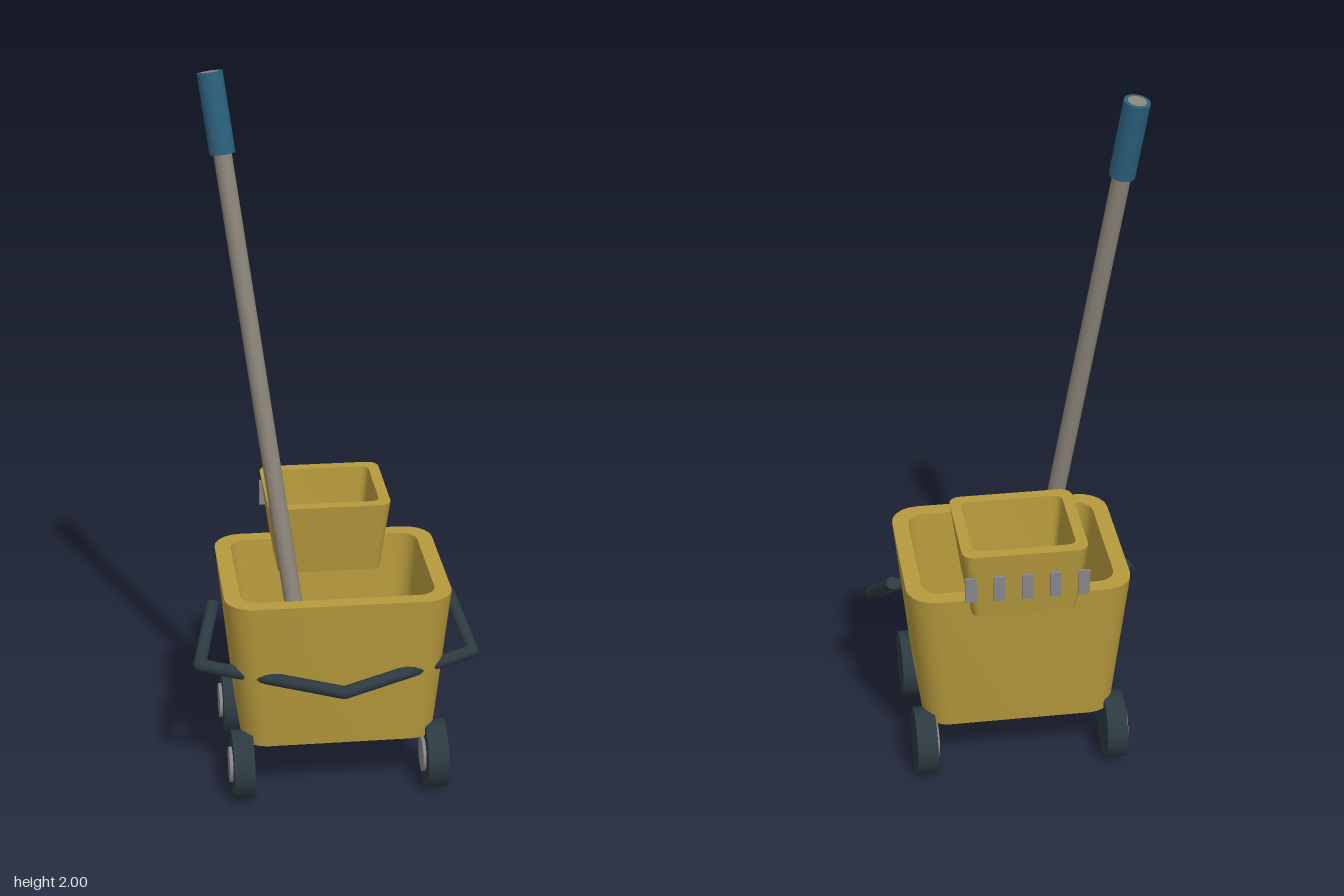
import * as THREE from 'three';
import { toCreasedNormals } from 'three/addons/utils/BufferGeometryUtils.js';

const mat = (color) => new THREE.MeshStandardMaterial({ color });
const yellow = mat(0xb5993c), dark = mat(0x2c3a40), blue = mat(0x2b607c);
const wood = mat(0x8c8478), cotton = mat(0xaaa6a0), metal = mat(0x85858a);
const V = (x, y, z) => new THREE.Vector3(x, y, z);

function add(parent, name, geometry, material) {
  const mesh = new THREE.Mesh(geometry, material);
  mesh.name = name;
  parent.add(mesh);
  return mesh;
}

// Tub lofted through rounded rectangles: rings of [halfX, y, halfZ, cornerRadius]
function tubGeometry(rings) {
  const seg = 5, n = 4 * (seg + 1), pos = [], idx = [];
  for (const [hx, y, hz, r] of rings) {
    for (let q = 0; q < 4; q++) {
      const sx = q === 0 || q === 3 ? 1 : -1, sz = q < 2 ? 1 : -1;
      for (let i = 0; i <= seg; i++) {
        const a = (q + i / seg) * Math.PI / 2;
        pos.push(sx * (hx - r) + r * Math.cos(a), y, sz * (hz - r) + r * Math.sin(a));
      }
    }
  }
  for (let k = 0; k < rings.length - 1; k++) {
    for (let j = 0; j < n; j++) {
      const a = k * n + j, b = k * n + (j + 1) % n;
      idx.push(a, a + n, b + n, a, b + n, b);
    }
  }
  const g = new THREE.BufferGeometry();
  g.setAttribute('position', new THREE.Float32BufferAttribute(pos, 3));
  g.setIndex(idx);
  return toCreasedNormals(g, 0.6);
}

// Cylinder between two points
function rod(parent, name, a, b, r, material, sides = 16) {
  const d = b.clone().sub(a);
  const mesh = add(parent, name, new THREE.CylinderGeometry(r, r, d.length(), sides), material);
  mesh.position.copy(a).addScaledVector(d, 0.5);
  mesh.quaternion.setFromUnitVectors(V(0, 1, 0), d.normalize());
  return mesh;
}

export function createModel() {
  const model = new THREE.Group();
  model.name = 'mopBucket';
  const c = 0.001; // closes a floor at its centre

  // Main bucket
  add(model, 'bucket', tubGeometry([
    [c, 0.16, c, c], [0.27, 0.16, 0.22, 0.07], [0.315, 0.6, 0.258, 0.08],
    [0.27, 0.6, 0.212, 0.05], [0.23, 0.2, 0.187, 0.04], [c, 0.2, c, c],
  ]), yellow);

  // Wringer basket over the back rim
  add(model, 'wringer', tubGeometry([
    [c, 0.575, c, c], [0.145, 0.575, 0.138, 0.025], [0.173, 0.78, 0.162, 0.032],
    [0.142, 0.78, 0.129, 0.022], [0.125, 0.62, 0.115, 0.02], [c, 0.62, c, c],
  ]), yellow).position.z = -0.165;

  // Row of slats behind the wringer
  for (let i = -2; i <= 2; i++) {
    add(model, 'slat', new THREE.BoxGeometry(0.031, 0.075, 0.008), metal)
      .position.set(i * 0.0775, 0.69, -0.346);
  }

  // Four wheels, each with a hub cap on its -x face
  for (const x of [-0.272, 0.272]) {
    for (const z of [-0.194, 0.194]) {
      const wheel = new THREE.Group();
      wheel.name = 'wheel';
      add(wheel, 'tyre', new THREE.CylinderGeometry(0.096, 0.096, 0.058, 24), dark);
      add(wheel, 'hubCap', new THREE.CylinderGeometry(0.05, 0.05, 0.01, 20), metal).position.y = 0.033;
      wheel.rotation.z = Math.PI / 2;
      wheel.position.set(x, 0.096, z);
      model.add(wheel);
    }
  }

  // Bent carrying bar that wraps around the front
  const bar = new THREE.Group();
  bar.name = 'bar';
  const tip = V(0, 0.37, 0.324), r = 0.018;
  for (const s of [-1, 1]) {
    const elbow = V(s * 0.384, 0.387, 0.147);
    rod(bar, 'frontBar', tip, elbow, r, dark, 12);
    rod(bar, 'sideBar', elbow, V(s * 0.335, 0.508, 0.002), r, dark, 12);
    add(bar, 'elbow', new THREE.SphereGeometry(r, 12, 8), dark).position.copy(elbow);
  }
  add(bar, 'frontBend', new THREE.SphereGeometry(r, 12, 8), dark).position.copy(tip);
  model.add(bar);

  // Mop: leaning pole, grip and drooping strands
  const mop = new THREE.Group();
  mop.name = 'mop';
  const foot = V(-0.096, 0.39, 0.106), top = V(-0.307, 1.993, -0.143);
  const axis = top.clone().sub(foot).normalize();
  rod(mop, 'pole', foot, top.clone().addScaledVector(axis, 0.001), 0.025, wood);
  rod(mop, 'grip', top.clone().addScaledVector(axis, -0.22), top, 0.035, blue, 20);
  const strandPath = new THREE.CatmullRomCurve3([
    V(0, 0.385, 0), V(0.055, 0.378, 0), V(0.092, 0.34, 0), V(0.102, 0.23, 0),
  ]);
  const strand = toCreasedNormals(new THREE.TubeGeometry(strandPath, 8, 0.016, 6), 0.4);
  const strandMaterial = cotton.clone();
  strandMaterial.side = THREE.DoubleSide;
  for (let i = 0; i < 9; i++) {
    const m = add(mop, 'strand', strand, strandMaterial);
    m.position.set(-0.091, 0, 0.106);
    m.rotation.y = i * Math.PI * 2 / 9;
  }
  model.add(mop);

  return model;
}
